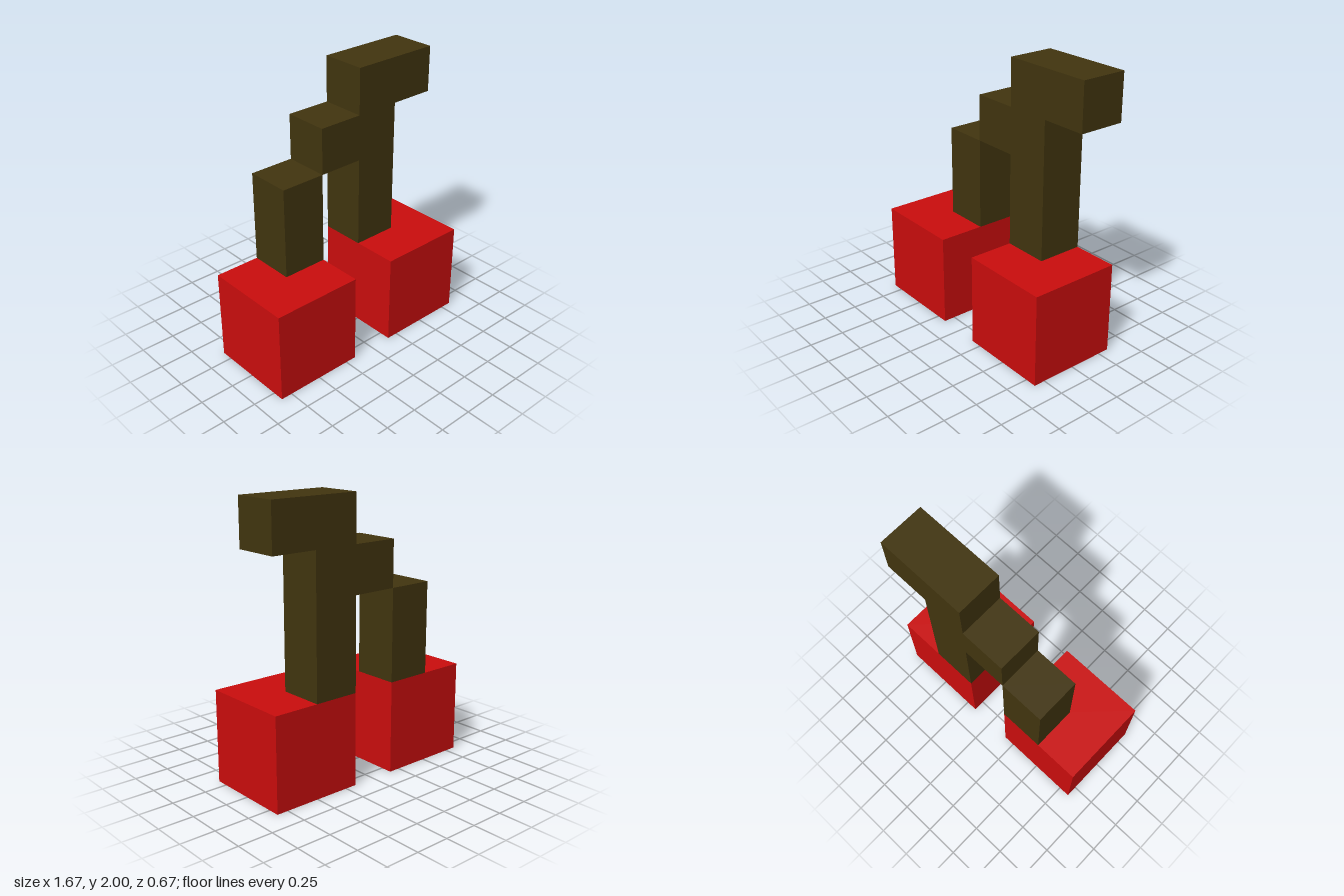
import * as THREE from 'three';

const U = 1 / 3; // one block

export function createModel() {
  const model = new THREE.Group();
  const red = new THREE.MeshStandardMaterial({ color: 0xcc0d0d });
  red.name = 'cherry red';
  const brown = new THREE.MeshStandardMaterial({ color: 0x42350f });
  brown.name = 'stem brown';

  const add = (name, geometry, material, x, y, z) => {
    const mesh = new THREE.Mesh(geometry, material);
    mesh.name = name;
    mesh.position.set(x * U, y * U, z * U);
    model.add(mesh);
  };

  // Two cube fruits
  for (const [name, side] of [['rightCherry', -1], ['leftCherry', 1]]) {
    add(name, new THREE.BoxGeometry(2 * U, 2 * U, 2 * U), red, side * 1.5, 1, 0);
  }

  // Short stem on the right fruit
  add('rightStem', new THREE.BoxGeometry(U, 2 * U, U), brown, -1, 3, -0.5);

  // Tall stem with a step to the right and a tip to the left
  const outline = [
    [0.5, 2], [1.5, 2], [1.5, 5], [2.5, 5], [2.5, 6],
    [0.5, 6], [0.5, 5], [-0.5, 5], [-0.5, 4], [0.5, 4],
  ].map(([x, y]) => new THREE.Vector2(x * U, y * U));
  const stem = new THREE.ExtrudeGeometry(new THREE.Shape(outline), { depth: U, bevelEnabled: false });
  add('leftStem', stem, brown, 0, 0, -1);

  return model;
}
